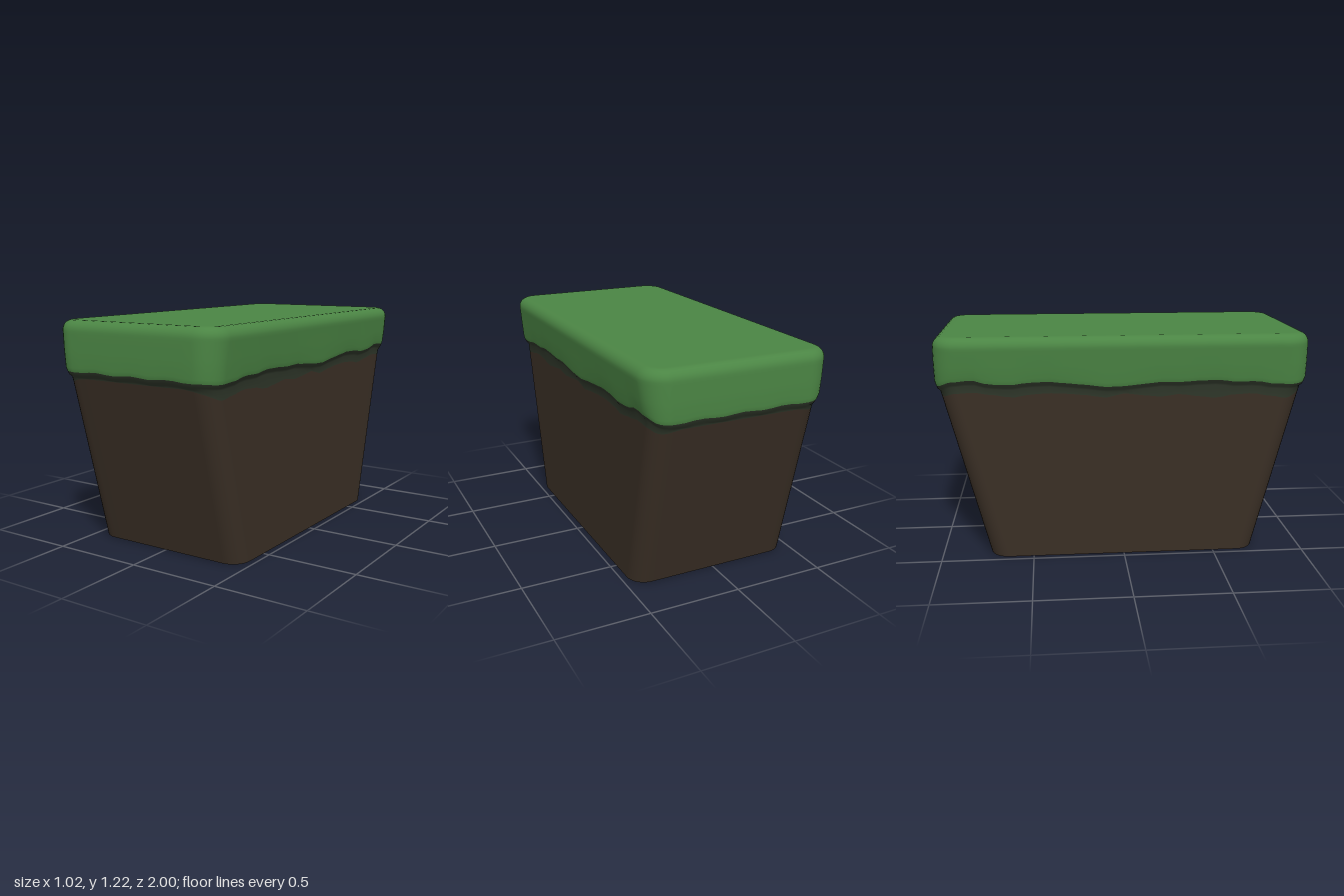
import * as THREE from 'three';

const CORNER = 8, LONG = 36, SHORT = 14;

// Rounded rectangle seen from above, always with the same number of points
function ring(hx, hz, r) {
  const pts = [];
  const signs = [[1, 1], [-1, 1], [-1, -1], [1, -1]];
  signs.forEach(([sx, sz], k) => {
    const cx = sx * (hx - r), cz = sz * (hz - r);
    for (let i = 0; i <= CORNER; i++) {
      const a = (k + i / CORNER) * Math.PI / 2;
      pts.push([cx + r * Math.cos(a), cz + r * Math.sin(a)]);
    }
    // straight run to the next corner
    const [nx, nz] = signs[(k + 1) % 4];
    const a = (k + 1) * Math.PI / 2, n = k % 2 ? LONG : SHORT;
    const p = pts[pts.length - 1];
    const q = [nx * (hx - r) + r * Math.cos(a), nz * (hz - r) + r * Math.sin(a)];
    for (let i = 1; i < n; i++) {
      const t = i / n;
      pts.push([p[0] + (q[0] - p[0]) * t, p[1] + (q[1] - p[1]) * t]);
    }
  });
  return pts;
}

// Skin over rows of [half width, half depth, corner radius, height];
// depth may depend on height, and height on the place around the rim
function skin(rows) {
  const pos = [], index = [];
  const rim = ring(0.48, 1, 0.12), n = rim.length;
  for (const [hx, hz, r, y] of rows) {
    for (let i = 0; i < n; i++) {
      const h = typeof y === 'function' ? y(...rim[i]) : y;
      const d = typeof hz === 'function' ? hz(h) : hz;
      // corner radius is the same on every row, so only the depth shifts
      const [x, z] = ring1(hx, d, r, i);
      pos.push(x, h, z);
    }
  }
  for (let j = 0; j < rows.length - 1; j++) {
    for (let i = 0; i < n; i++) {
      const a = j * n + i, b = j * n + (i + 1) % n, c = a + n, d = b + n;
      index.push(a, c, d, a, d, b);
    }
  }
  const g = new THREE.BufferGeometry();
  g.setAttribute('position', new THREE.Float32BufferAttribute(pos, 3));
  g.setIndex(index);
  g.computeVertexNormals();
  return g;
}
const ring1 = (hx, hz, r, i) => ring(hx, hz, r)[i];

// Evenly spaced heights from z = 1 to z = -1, joined smoothly
function along(list) {
  return z => {
    const t = THREE.MathUtils.clamp((1 - z) / 2, 0, 1) * (list.length - 1);
    const i = Math.min(Math.floor(t), list.length - 2);
    return THREE.MathUtils.lerp(list[i], list[i + 1], THREE.MathUtils.smoothstep(t - i, 0, 1));
  };
}

const hemSide = along([0.955, 0.95, 0.955, 0.97, 0.968, 0.98, 0.978, 0.972, 0.975, 0.965, 0.955, 0.952, 0.965, 0.975, 0.985, 0.982, 0.97, 0.975, 0.998, 0.99, 0.958]);
const fringeSide = along([0.9, 0.87, 0.885, 0.9, 0.895, 0.878, 0.89, 0.903, 0.89, 0.9, 0.912, 0.89, 0.905, 0.915, 0.92, 0.915, 0.9, 0.915, 0.93, 0.925, 0.9]);
const endMix = x => 1 - THREE.MathUtils.smoothstep(Math.abs(x), 0.3, 0.47);
const hem = (x, z) => hemSide(z) + 0.004 * endMix(x) * (1 + Math.cos(x * 28));
const fringeLow = (x, z) => fringeSide(z) + 0.022 * endMix(x);
const wallDepth = y => 0.735 + 0.255 * y;

export function createModel() {
  const group = new THREE.Group();
  const soil = new THREE.MeshStandardMaterial({ color: 0x3a2f25 });
  soil.name = 'soil brown';
  const fringe = new THREE.MeshStandardMaterial({ color: 0x2f372a });
  fringe.name = 'mossy shade';
  const grass = new THREE.MeshStandardMaterial({ color: 0x4b8544 });
  grass.name = 'grass green';

  const add = (name, rows, material) => {
    const mesh = new THREE.Mesh(skin(rows), material);
    mesh.name = name;
    group.add(mesh);
  };

  // Soil block, tapering towards its base at both ends
  add('soilBase', [[0, 0, 0, 0], [0.465, 0.735, 0.1, 0]], soil);
  add('soilWall', [
    [0.465, wallDepth, 0.1, 0],
    [0.465, wallDepth, 0.1, 0.45],
    [0.465, wallDepth, 0.1, fringeLow],
  ], soil);

  // Uneven dark strip that flares out under the grass
  add('fringe', [
    [0.465, wallDepth, 0.1, fringeLow],
    [0.466, wallDepth, 0.1, (x, z) => hem(x, z) - 0.03],
    [0.474, 0.985, 0.105, (x, z) => hem(x, z) - 0.018],
    [0.484, 0.992, 0.11, hem],
  ], fringe);

  // Grass slab with a rounded top edge
  const rows = [
    [0.484, 0.992, 0.11, hem],
    [0.491, 0.998, 0.115, (x, z) => hem(x, z) + 0.022],
    [0.5, 1, 0.12, 1.07],
    [0.509, 1, 0.13, 1.15],
  ];
  for (let i = 0; i <= 6; i++) {
    const a = i / 6 * Math.PI / 2, inset = 0.055 * (1 - Math.cos(a));
    rows.push([0.511 - inset, 1 - inset, 0.13 - inset, 1.165 + 0.055 * Math.sin(a)]);
  }
  rows.push([0.44, 0.93, 0.06, 1.22], [0, 0, 0, 1.22]);
  add('grassTop', rows, grass);

  return group;
}
